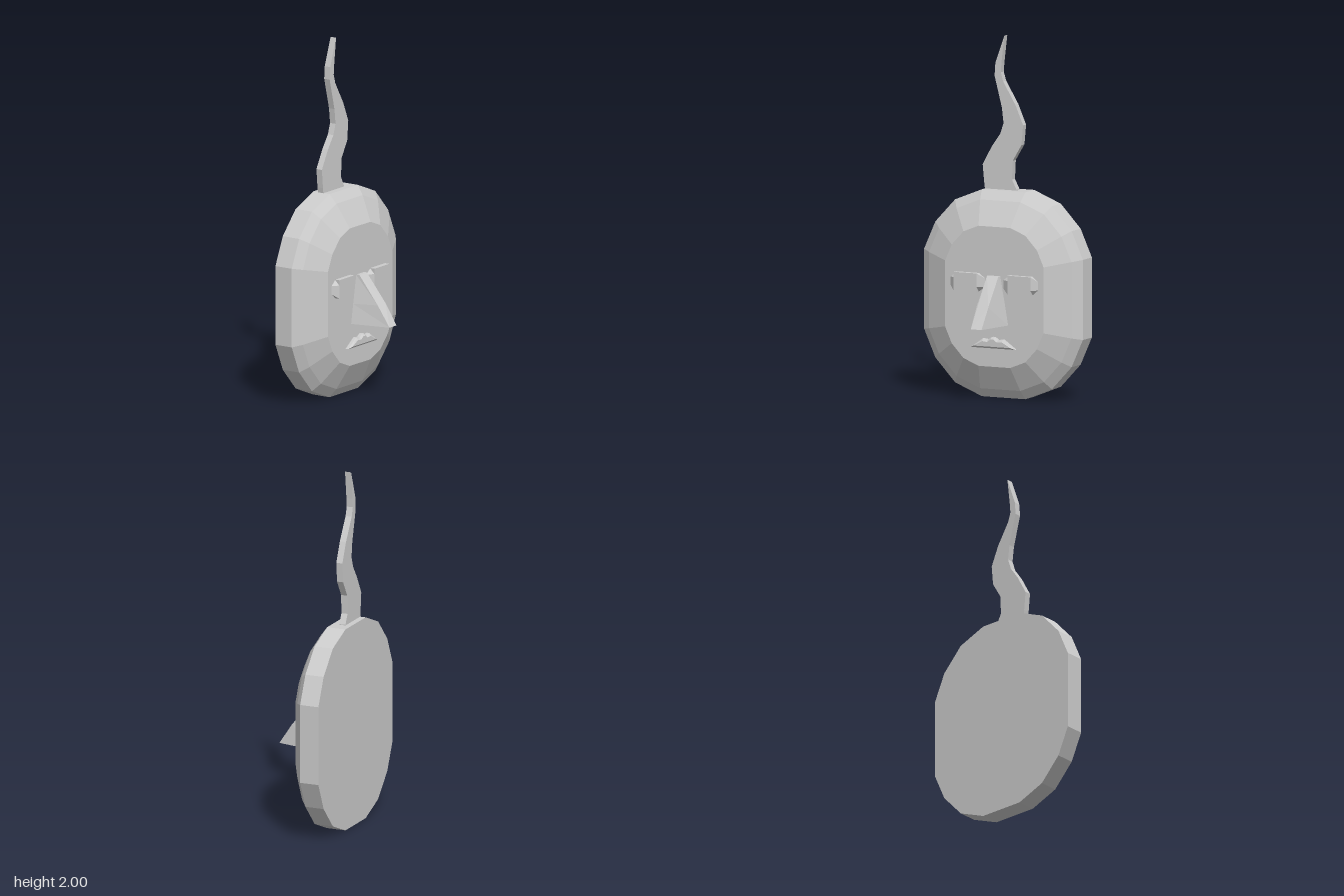
import * as THREE from 'three';

// Joins matching rings of [z, y, x] points (back to front) and caps both ends.
function loft(name, rings, material) {
  const flat = (ring) => ring.map(([z, y]) => new THREE.Vector2(-z, y));
  if (THREE.ShapeUtils.area(flat(rings[0])) < 0) rings = rings.map((r) => [...r].reverse());
  const pos = [];
  const tri = (...pts) => pts.forEach(([z, y, x]) => pos.push(x, y, z));
  const n = rings[0].length;
  for (let r = 0; r < rings.length - 1; r++) {
    for (let i = 0; i < n; i++) {
      const j = (i + 1) % n;
      const [a, b, c, d] = [rings[r][i], rings[r][j], rings[r + 1][j], rings[r + 1][i]];
      tri(a, b, c);
      tri(a, c, d);
    }
  }
  const cap = (ring, front) => {
    const pts = flat(ring);
    for (const f of THREE.ShapeUtils.triangulateShape(pts, [])) {
      const ccw = THREE.ShapeUtils.area(f.map((i) => pts[i])) > 0;
      const order = ccw === front ? f : [...f].reverse();
      tri(...order.map((i) => ring[i]));
    }
  };
  cap(rings[0], false);
  cap(rings[rings.length - 1], true);
  const geo = new THREE.BufferGeometry();
  geo.setAttribute('position', new THREE.Float32BufferAttribute(pos, 3));
  geo.computeVertexNormals();
  const mesh = new THREE.Mesh(geo, material);
  mesh.name = name;
  return mesh;
}

const at = (pts, x) => pts.map(([z, y]) => [z, y, x]);

// Moves every edge of a convex clockwise outline inward by d.
function inset(pts, d) {
  const n = pts.length;
  const normal = (a, b) => {
    const l = Math.hypot(b[0] - a[0], b[1] - a[1]);
    return [-(b[1] - a[1]) / l, (b[0] - a[0]) / l];
  };
  return pts.map((p, i) => {
    const m = normal(pts[(i + n - 1) % n], p);
    const k = normal(p, pts[(i + 1) % n]);
    const s = d / (1 + m[0] * k[0] + m[1] * k[1]);
    return [p[0] - (m[0] + k[0]) * s, p[1] - (m[1] + k[1]) * s];
  });
}

export function createModel() {
  const group = new THREE.Group();
  group.name = 'mask';
  const grey = new THREE.MeshStandardMaterial({ color: 0xcccccc });
  grey.name = 'light grey';

  // Head: sixteen-sided slab with a bevelled front
  const mid = 0.573;
  const quarter = [[0.133, 0.573], [0.297, 0.507], [0.418, 0.377], [0.487, 0.222]];
  const right = [...quarter, ...[...quarter].reverse().map(([z, y]) => [z, -y])];
  const outline = [...right, ...right.map(([z, y]) => [-z, -y])].map(([z, y]) => [z, y + mid]);
  group.add(loft('head', [
    at(outline, -0.222),
    at(outline, -0.112),
    at(inset(outline, 0.05), -0.072),
    at(inset(outline, 0.185), 0),
  ], grey));

  // Wavy flat plume on top
  const plume = [
    [0.132, 1.13], [0.138, 1.175], [0.148, 1.28], [0.09, 1.385], [0.04, 1.455], [0.02, 1.515],
    [0.03, 1.6], [0.075, 1.775], [0.07, 1.845], [0.015, 2], [0.033, 1.845], [0.037, 1.795],
    [0.022, 1.745], [-0.053, 1.62], [-0.1, 1.51], [-0.09, 1.4], [-0.037, 1.31],
    [-0.032, 1.205], [-0.06, 1.15], [-0.06, 1.13],
  ];
  group.add(loft('plume', [at(plume, -0.189), at(plume, -0.152)], grey));

  // Eyes: blocks with sloping ends
  const eye = [
    [0.27, 0.625], [0.27, 0.67], [0.235, 0.7], [0.095, 0.7],
    [0.053, 0.67], [0.053, 0.625], [0.095, 0.595], [0.235, 0.595],
  ];
  for (const side of [1, -1]) {
    const base = eye.map(([z, y]) => [side * z, y]);
    const front = eye.map(([z, y]) => [side * THREE.MathUtils.clamp(z, 0.095, 0.235), y]);
    group.add(loft(side > 0 ? 'eyeA' : 'eyeB', [at(base, -0.002), at(front, 0.028)], grey));
  }

  // Nose: wedge widening downward, with a slightly bent ridge
  const mirror = (pts) => [...pts, ...[...pts].reverse().map(([z, y, x]) => [-z, y, x])];
  group.add(loft('nose', [
    mirror([[0.037, 0.69, -0.002], [0.066, 0.53, -0.002], [0.085, 0.42, -0.002]]),
    mirror([[0.035, 0.69, 0.02], [0.036, 0.535, 0.145], [0.033, 0.42, 0.222]]),
  ], grey));

  // Mouth: raised lips with a bevelled rim
  const lips = mirror([[0.008, 0.352], [0.03, 0.337], [0.062, 0.342], [0.136, 0.29]]);
  const lipsFront = mirror([[0.008, 0.34], [0.03, 0.325], [0.06, 0.328], [0.112, 0.3]]);
  group.add(loft('mouth', [at(lips, -0.002), at(lips, 0.018), at(lipsFront, 0.029)], grey));

  return group;
}
